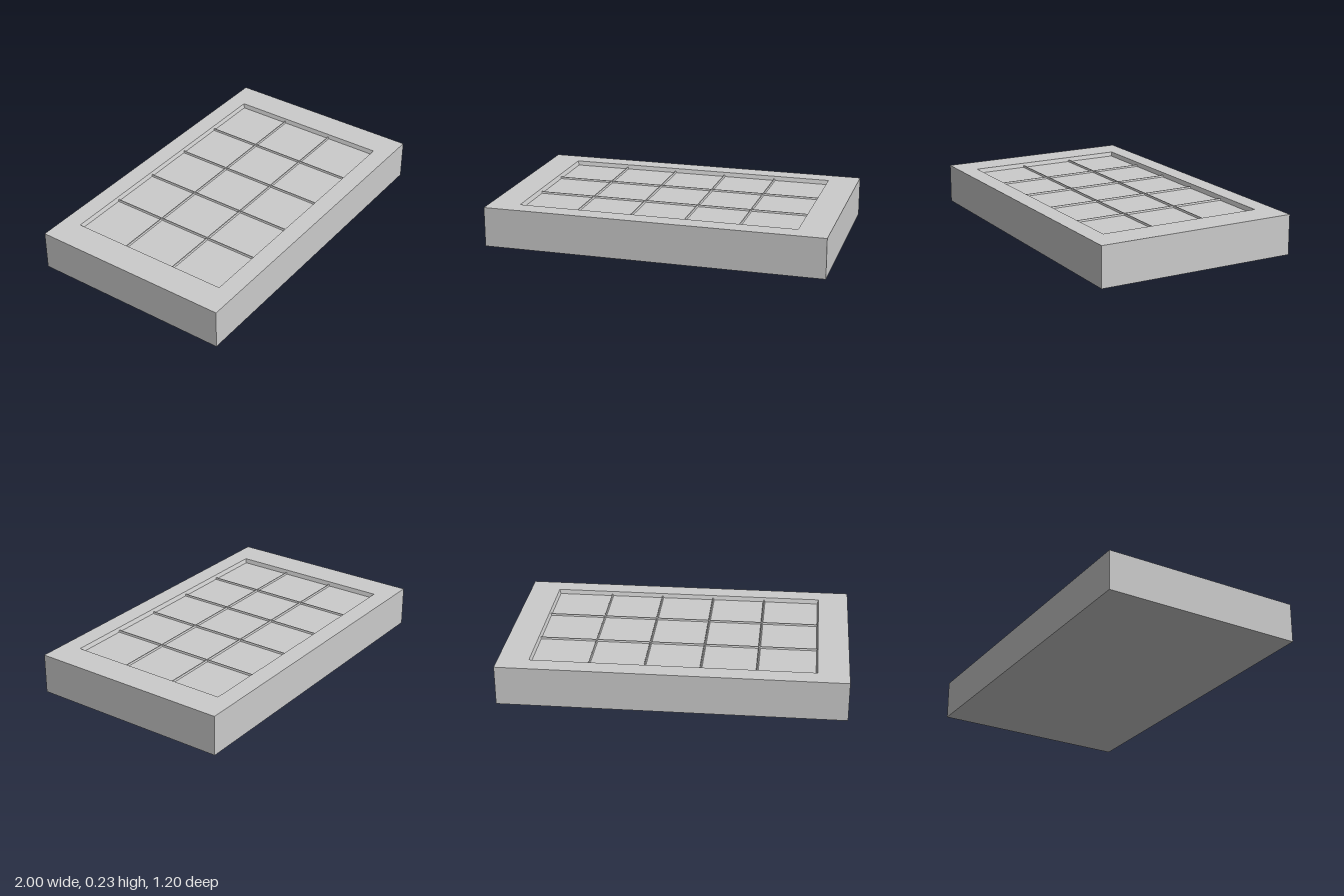
import * as THREE from 'three';

const HEIGHT = 0.235, FLOOR = 0.21;

// Skin over a stack of rectangular rings [halfX, y, halfZ], capped at both ends
function rectLoft(rings) {
  const corners = rings.map(([x, y, z]) => [[-x, y, z], [x, y, z], [x, y, -z], [-x, y, -z]]);
  const pos = [];
  const quad = (a, b, c, d) => pos.push(...a, ...b, ...c, ...a, ...c, ...d);
  for (let r = 0; r < corners.length - 1; r++) {
    const lo = corners[r], hi = corners[r + 1];
    for (let i = 0; i < 4; i++) {
      const j = (i + 1) % 4;
      quad(lo[i], lo[j], hi[j], hi[i]);
    }
  }
  const first = corners[0], last = corners[corners.length - 1];
  quad(first[3], first[2], first[1], first[0]);
  quad(...last);
  const geo = new THREE.BufferGeometry();
  geo.setAttribute('position', new THREE.Float32BufferAttribute(pos, 3));
  geo.computeVertexNormals();
  return geo;
}

// Small ridge with sloping sides, running along z
function ridgeGeometry(length) {
  const profile = new THREE.Shape([[-0.008, -0.004], [0.008, -0.004], [0.003, 0.01], [-0.003, 0.01]]
    .map(([x, y]) => new THREE.Vector2(x, y)));
  return new THREE.ExtrudeGeometry(profile, { depth: length, bevelEnabled: false })
    .translate(0, 0, -length / 2);
}

export function createModel() {
  const group = new THREE.Group();
  group.name = 'mouldTray';
  const material = new THREE.MeshStandardMaterial({ color: 0xcccccc, flatShading: true });
  const add = (name, geo) => {
    const mesh = new THREE.Mesh(geo, material);
    mesh.name = name;
    group.add(mesh);
    return mesh;
  };

  // Block with a shallow, slightly tapered recess in the top
  add('trayBody', rectLoft([
    [1, 0, 0.6], [1, HEIGHT, 0.6], [0.82, HEIGHT, 0.49], [0.812, FLOOR, 0.482],
  ]));

  // Dividing ridges: five columns by three rows
  for (const x of [-0.48, -0.16, 0.16, 0.48]) {
    add('columnRidge', ridgeGeometry(0.97)).position.set(x, FLOOR, 0);
  }
  for (const z of [-0.163, 0.163]) {
    const ridge = add('rowRidge', ridgeGeometry(1.63));
    ridge.rotation.y = Math.PI / 2;
    ridge.position.set(0, FLOOR, z);
  }
  return group;
}
